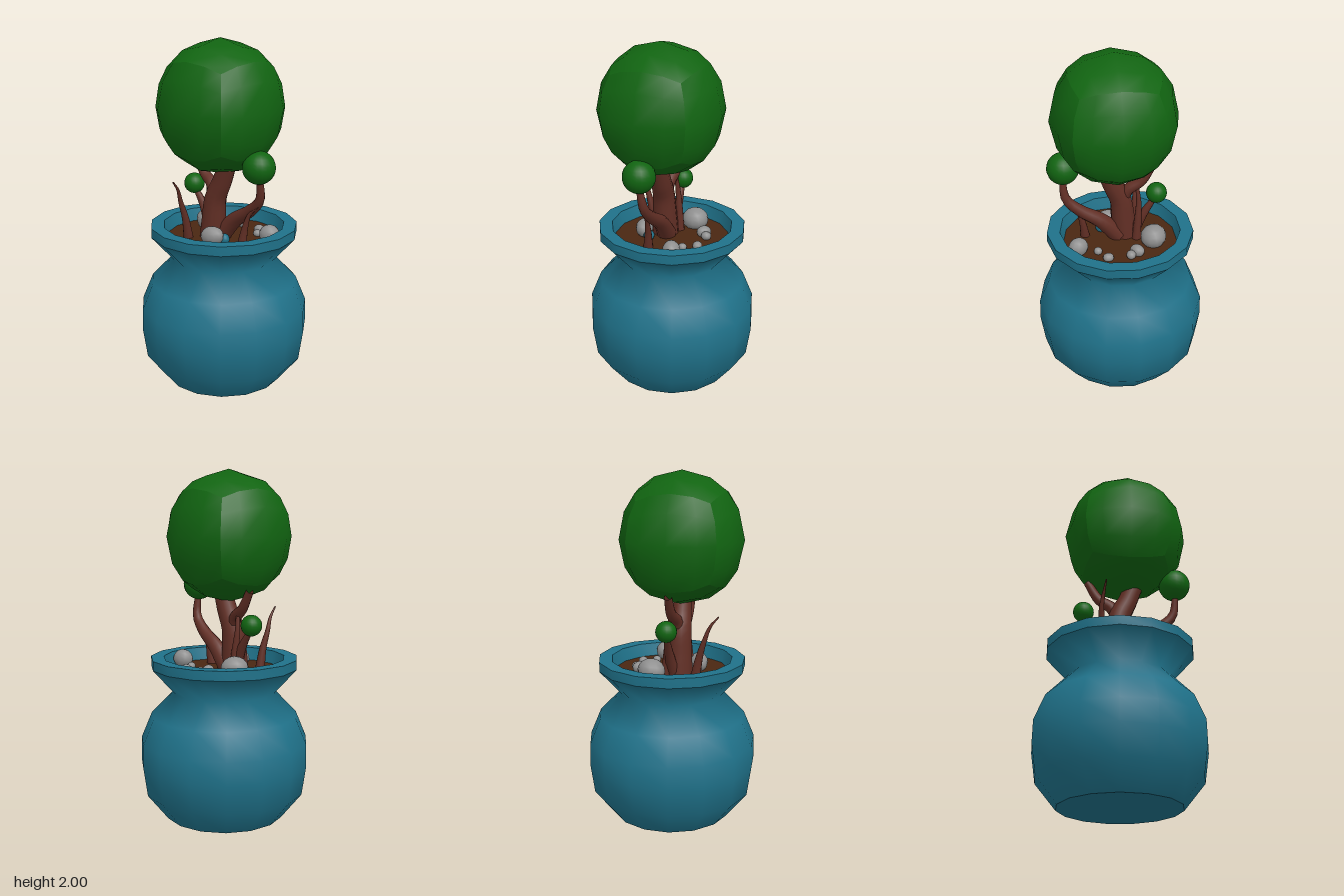
import * as THREE from 'three';
import { toCreasedNormals } from 'three/addons/utils/BufferGeometryUtils.js';

const paint = (color, side = THREE.FrontSide) => new THREE.MeshStandardMaterial({ color, side });
const V = (p) => new THREE.Vector3(...p);

function add(parent, name, geometry, material, position = [0, 0, 0]) {
  const mesh = new THREE.Mesh(geometry, material);
  mesh.name = name;
  mesh.position.set(...position);
  parent.add(mesh);
  return mesh;
}

// Fifteen-sided turned shape with a corner on +x
function turned(profile) {
  return new THREE.LatheGeometry(profile.map(([r, y]) => new THREE.Vector2(r, y)), 15, Math.PI / 2);
}

// Box whose vertices are pushed onto a sphere; its six faces keep separate normals
function boxSphere(radius, segments) {
  const g = new THREE.BoxGeometry(2, 2, 2, segments, segments, segments);
  const p = g.attributes.position;
  const v = new THREE.Vector3();
  for (let i = 0; i < p.count; i++) {
    v.fromBufferAttribute(p, i).setLength(radius);
    p.setXYZ(i, v.x, v.y, v.z);
  }
  g.computeVertexNormals();
  return g;
}

// Tube along a curve, thinning from r0 to r1
function limb(points, r0, r1, segments = 14, sides = 10) {
  const curve = new THREE.CatmullRomCurve3(points.map(V));
  const g = new THREE.TubeGeometry(curve, segments, 1, sides);
  const p = g.attributes.position;
  const v = new THREE.Vector3();
  for (let i = 0; i <= segments; i++) {
    const t = i / segments;
    const centre = curve.getPointAt(t);
    const r = r0 + (r1 - r0) * t;
    for (let j = 0; j <= sides; j++) {
      const k = i * (sides + 1) + j;
      v.fromBufferAttribute(p, k).sub(centre).multiplyScalar(r).add(centre);
      p.setXYZ(k, v.x, v.y, v.z);
    }
  }
  return g;
}

export function createModel() {
  const model = new THREE.Group();
  model.name = 'pottedTree';
  const teal = paint(0x1f7189);
  const bark = paint(0x622f25, THREE.DoubleSide);
  const leaf = paint(0x116411);
  const stone = paint(0xcccccc);
  stone.color.set(0x8f8f8f);

  // Pot: smooth belly and flared neck, crisp rim, flat base
  const pot = new THREE.Group();
  pot.name = 'pot';
  pot.position.x = -0.005;
  model.add(pot);
  add(pot, 'potBody', turned([
    [0.345, 0], [0.465, 0.15], [0.49, 0.32], [0.487, 0.45],
    [0.425, 0.6], [0.295, 0.735], [0.425, 0.88],
  ]), teal);
  add(pot, 'potRim', toCreasedNormals(turned([
    [0.425, 0.88], [0.425, 0.935], [0.35, 0.935], [0.325, 0.84],
  ]), 0.8), teal);
  const base = add(pot, 'potBase', new THREE.CircleGeometry(0.345, 15), teal);
  base.rotation.x = Math.PI / 2;
  const soil = add(pot, 'soil', new THREE.CircleGeometry(0.335, 15), paint(0x4a2712), [0, 0.862, 0]);
  soil.rotation.x = -Math.PI / 2;

  // Trunk and branches: name, path, start radius, end radius
  const tree = new THREE.Group();
  tree.name = 'tree';
  model.add(tree);
  const limbs = [
    ['trunk', [[-0.04, 0.84, 0.055], [-0.03, 0.97, 0.055], [-0.015, 1.1, 0.055], [0.03, 1.2, 0.05], [0.085, 1.34, 0.05]], 0.078, 0.05],
    ['upperLeftBranch', [[-0.02, 1.1, 0.05], [-0.06, 1.17, 0.04], [-0.13, 1.22, 0.03], [-0.2, 1.33, 0.03]], 0.04, 0.022],
    ['rightBranch', [[0.0, 0.87, 0.03], [0.1, 0.98, 0.02], [0.22, 1.06, 0.02], [0.3, 1.14, 0.03], [0.315, 1.27, 0.05]], 0.055, 0.017],
    ['leftBranch', [[-0.07, 0.85, 0.03], [-0.13, 0.98, 0.02], [-0.17, 1.05, 0.02], [-0.22, 1.12, 0.025]], 0.04, 0.014],
    ['frontTwig', [[-0.125, 0.84, 0.165], [-0.125, 0.98, 0.19], [-0.13, 1.08, 0.22], [-0.12, 1.16, 0.25], [-0.11, 1.215, 0.295]], 0.03, 0.004],
    ['rightTwig', [[0.19, 0.84, 0.06], [0.21, 0.97, 0.05], [0.24, 1.05, 0.045], [0.3, 1.1, 0.04]], 0.03, 0.003],
    ['backTwig', [[-0.1, 0.84, -0.01], [-0.11, 1.0, 0.0], [-0.115, 1.1, 0.01], [-0.105, 1.2, 0.02]], 0.028, 0.01],
  ];
  for (const [name, path, r0, r1] of limbs) add(tree, name, limb(path, r0, r1), bark);

  // Foliage balls
  const crown = add(tree, 'crown', boxSphere(1, 4), leaf, [0.02, 1.625, 0.052]);
  crown.scale.set(0.357, 0.375, 0.357);
  add(tree, 'rightFoliage', new THREE.SphereGeometry(0.092, 20, 14), leaf, [0.31, 1.328, 0.052]);
  add(tree, 'leftFoliage', new THREE.SphereGeometry(0.06, 20, 14), leaf, [-0.22, 1.14, 0.025]);

  // Stones lying on the soil: position, half sizes, turn
  const stones = [
    [[0.05, 0.905, 0.15], [0.07, 0.055, 0.05], 0.3],
    [[0.25, 0.9, -0.11], [0.06, 0.055, 0.05], 0.5],
    [[-0.19, 0.905, -0.07], [0.075, 0.068, 0.08], -0.4],
    [[-0.08, 0.885, -0.17], [0.035, 0.035, 0.045], 0.8],
    [[-0.04, 0.88, -0.2], [0.028, 0.025, 0.03], 0],
    [[0.09, 0.875, -0.2], [0.032, 0.025, 0.028], 0.2],
    [[0.14, 0.875, -0.13], [0.025, 0.022, 0.025], 0],
  ];
  const pebble = new THREE.SphereGeometry(1, 12, 8);
  for (const [at, size, turn] of stones) {
    const s = add(model, 'stone', pebble, stone, at);
    s.scale.set(...size);
    s.rotation.set(0, turn, turn * 0.4);
  }
  add(model, 'tealPebble', pebble, teal, [0.095, 0.885, 0.1]).scale.setScalar(0.032);

  return model;
}
